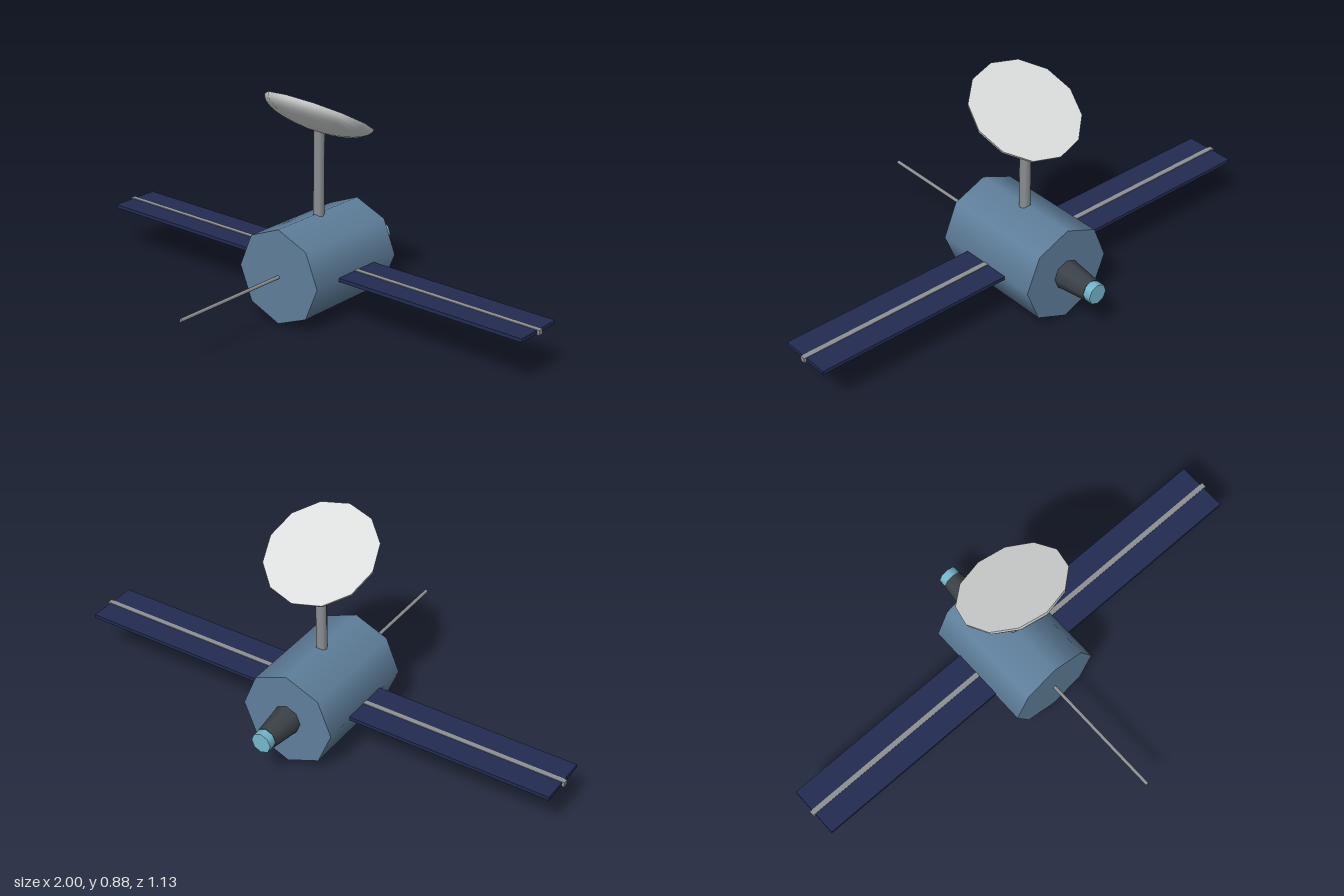
import * as THREE from 'three';

export function createModel() {
  const group = new THREE.Group();
  const material = (name, color) => {
    const m = new THREE.MeshStandardMaterial({ color });
    m.name = name;
    return m;
  };
  const hull = material('hull blue', 0x5f7f9b);
  const solar = material('solar navy', 0x222c52);
  const metal = material('grey metal', 0x8c9094);
  const white = material('dish white', 0xdadddc);
  const dark = material('dark metal', 0x3a4248);
  const glow = material('nozzle cyan', 0x74b8cc);

  const add = (name, geometry, mat, x, y, z, parent = group) => {
    const mesh = new THREE.Mesh(geometry, mat);
    mesh.name = name;
    mesh.position.set(x, y, z);
    parent.add(mesh);
    return mesh;
  };
  const axisY = 0.192, midZ = -0.177;

  // Cylinder lying along z, between a back and a front end
  const along = (name, mat, back, front, rBack, rFront, sides) =>
    add(name, new THREE.CylinderGeometry(rFront, rBack, front - back, sides).rotateX(Math.PI / 2),
      mat, 0, axisY, (back + front) / 2);

  // Octagonal hull, rear thruster and front probe
  along('body', hull, -0.405, 0.053, 0.188, 0.188, 8);
  along('thruster', dark, -0.535, -0.405, 0.042, 0.057, 8);
  along('thrusterTip', glow, -0.567, -0.535, 0.04, 0.04, 8);
  along('probe', metal, 0.05, 0.567, 0.007, 0.007, 8);

  // Hatch under the hull
  add('hatch', new THREE.BoxGeometry(0.074, 0.018, 0.127), dark, 0, 0.009, -0.102);

  // Solar wings with a central spar
  for (const side of [1, -1]) {
    const wing = side > 0 ? 'left' : 'right';
    add(wing + 'Panel', new THREE.BoxGeometry(0.84, 0.014, 0.207), solar, side * 0.57, axisY, midZ);
    add(wing + 'Spar', new THREE.BoxGeometry(0.85, 0.019, 0.02), metal, side * 0.575, axisY, midZ);
  }

  // Mast
  add('mast', new THREE.CylinderGeometry(0.021, 0.021, 0.35, 8), metal, 0, 0.535, midZ);

  // Tilted dish: shallow bowl closed by a flat face
  const dish = new THREE.Group();
  dish.name = 'dish';
  dish.position.set(0, 0.778, -0.176);
  dish.rotation.x = -Math.PI / 6;
  group.add(dish);
  const radius = 0.214, depth = 0.071, profile = [];
  for (let i = 0; i <= 8; i++) {
    const a = (i / 8) * Math.PI / 2;
    profile.push(new THREE.Vector2(radius * Math.sin(a), -depth * Math.cos(a)));
  }
  add('dishBowl', new THREE.LatheGeometry(profile, 12), white, 0, 0, 0, dish);
  add('dishFace', new THREE.CircleGeometry(radius, 12).rotateX(-Math.PI / 2), white, 0, 0, 0, dish);

  return group;
}
